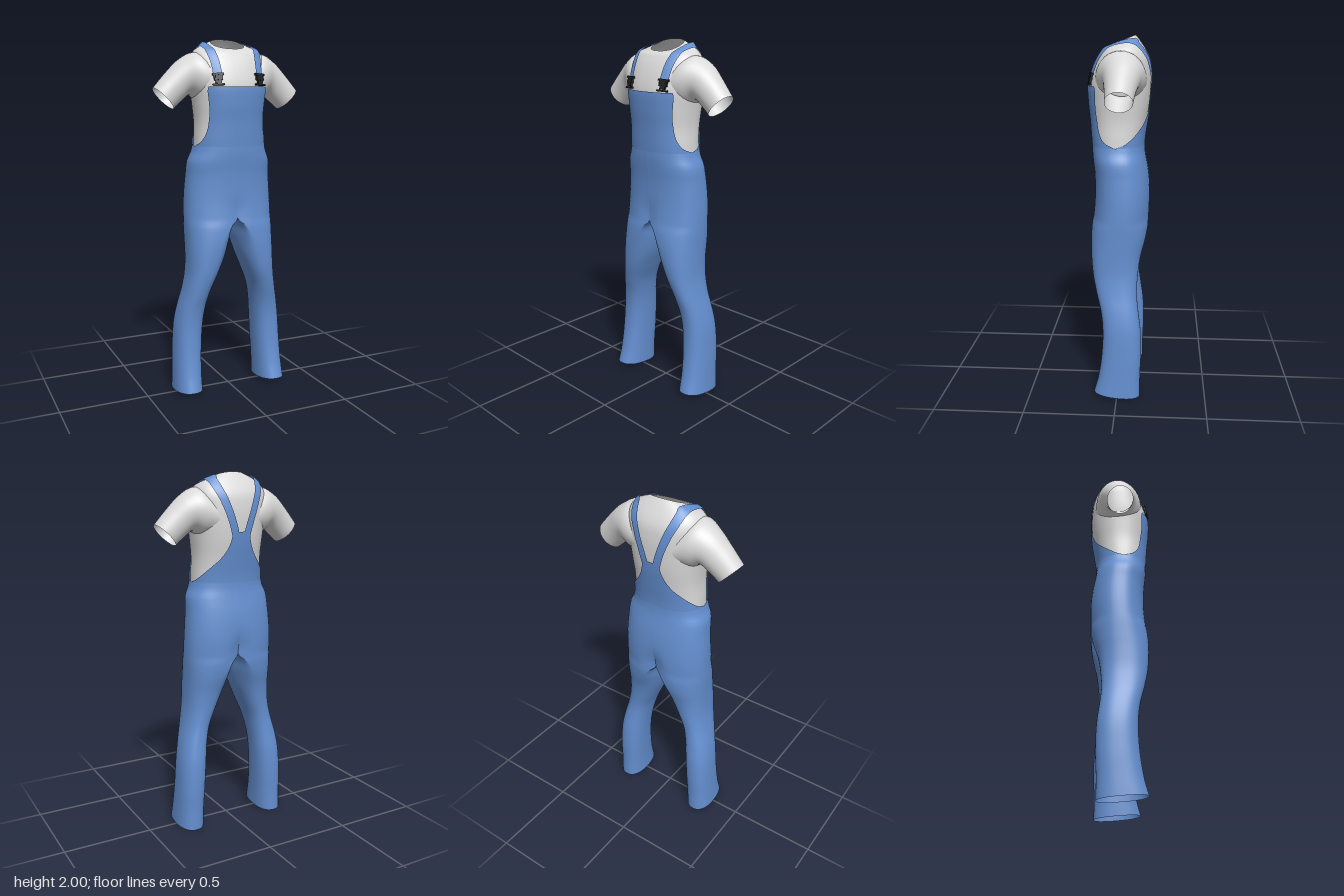
import * as THREE from 'three';

const denim = new THREE.MeshStandardMaterial({ color: 0x648fd0, side: THREE.DoubleSide });
denim.name = 'denim blue';
const cotton = new THREE.MeshStandardMaterial({ color: 0xdadada, side: THREE.DoubleSide });
cotton.name = 'cotton white';
const plastic = new THREE.MeshStandardMaterial({ color: 0x1c1e22 });
plastic.name = 'buckle black';

const N = 2.35; // squareness of the body sections
const spow = (v, p) => Math.sign(v) * Math.abs(v) ** p;
const sq = (v) => spow(v, 2 / N);

// Smooth lookup through a table of [key, ...values] rows, keys ascending
function smoothTable(rows) {
  const f = new THREE.CubicInterpolant(rows.map((r) => r[0]), rows.flatMap((r) => r.slice(1)), rows[0].length - 1);
  return (k) => Array.from(f.evaluate(k));
}

// Skin a list of point rows; faces lying wholly on the centre plane are left out
function skin(name, rows, material, { closed = false, flip = false } = {}) {
  const n = rows[0].length, index = [];
  const pts = rows.flat();
  const tri = (a, b, c) => {
    if ([a, b, c].every((i) => Math.abs(pts[i][0]) < 1e-5)) return;
    index.push(...(flip ? [a, c, b] : [a, b, c]));
  };
  for (let r = 0; r < rows.length - 1; r++) {
    for (let j = 0; j < (closed ? n : n - 1); j++) {
      const a = r * n + j, b = r * n + ((j + 1) % n);
      tri(a, b, b + n);
      tri(a, b + n, a + n);
    }
  }
  const geo = new THREE.BufferGeometry();
  geo.setAttribute('position', new THREE.Float32BufferAttribute(pts.flat(), 3));
  geo.setIndex(index);
  geo.computeVertexNormals();
  const mesh = new THREE.Mesh(geo, material);
  mesh.name = name;
  return mesh;
}
const range = (n, a, b) => Array.from({ length: n + 1 }, (_, i) => a + ((b - a) * i) / n);

// Torso: height, half width, front z, back z, forward slope of the ring
const torso = smoothTable([
  [1.37, 0.203, 0.142, -0.13, 0],
  [1.45, 0.199, 0.148, -0.135, 0],
  [1.55, 0.195, 0.155, -0.15, 0],
  [1.65, 0.203, 0.165, -0.165, 0],
  [1.74, 0.213, 0.167, -0.171, 0],
  [1.82, 0.215, 0.148, -0.17, 0.01],
  [1.88, 0.212, 0.124, -0.16, 0.03],
  [1.915, 0.2, 0.106, -0.14, 0.08],
  [1.942, 0.17, 0.09, -0.117, 0.16],
  [1.957, 0.127, 0.075, -0.098, 0.3],
  [1.966, 0.093, 0.062, -0.086, 0.4],
]);
function torsoPoint(a, y, off = 0) {
  const [w, f, b, k] = torso(y);
  const z = (f + b) / 2 + ((f - b) / 2 + off) * sq(Math.cos(a));
  return [(w + off) * sq(Math.sin(a)), y - k * z, z];
}
function insideTorso(x, y, z) {
  let y0 = y;
  for (let i = 0; i < 5; i++) y0 = y + torso(y0)[3] * z;
  if (y0 > 1.966) return false;
  const [w, f, b] = torso(y0);
  return Math.abs(x / w) ** N + Math.abs((z - (f + b) / 2) / ((f - b) / 2)) ** N < 1;
}
// Point on the torso at x, seen from its middle at angle phi (0 front, 90 up, 180 back)
function wrapPoint(x, phi, off) {
  const c = Math.cos(THREE.MathUtils.degToRad(phi)), s = Math.sin(THREE.MathUtils.degToRad(phi));
  let lo = 0, hi = 0.4;
  for (let i = 0; i < 24; i++) {
    const m = (lo + hi) / 2;
    if (insideTorso(x, 1.75 + m * s, m * c - 0.005)) lo = m; else hi = m;
  }
  return [x, 1.75 + (lo + off) * s, (lo + off) * c - 0.005];
}

// Trouser half: height, inner x, middle x, outer x, front z, back z
const leg = smoothTable([
  [0.012, 0.185, 0.262, 0.34, 0.13, -0.13],
  [0.12, 0.183, 0.258, 0.335, 0.105, -0.13],
  [0.25, 0.177, 0.253, 0.33, 0.087, -0.135],
  [0.4, 0.167, 0.243, 0.32, 0.082, -0.13],
  [0.5, 0.155, 0.23, 0.302, 0.093, -0.117],
  [0.6, 0.133, 0.205, 0.277, 0.118, -0.107],
  [0.7, 0.093, 0.172, 0.26, 0.14, -0.112],
  [0.8, 0.053, 0.14, 0.256, 0.151, -0.126],
  [0.9, 0.029, 0.095, 0.257, 0.155, -0.153],
  [0.98, 0.018, 0.04, 0.259, 0.153, -0.168],
  [1.01, 0, 0, 0.259, 0.15, -0.171],
  [1.12, 0, 0, 0.256, 0.14, -0.174],
  [1.25, 0, 0, 0.246, 0.14, -0.164],
  [1.34, 0, 0, 0.237, 0.149, -0.148],
  [1.38, 0, 0, 0.218, 0.153, -0.142],
  [1.415, 0, 0, 0.209, 0.154, -0.141],
]);
function trouserHalf(s) {
  const rows = range(78, 0.012, 1.415).map((y) => {
    let [xi, xm, xo, f, b] = leg(y);
    if (y > 1.005) xi = xm = 0;
    return range(47, 0, (Math.PI * 2 * 47) / 48).map((a, j) => {
      const sn = j % 24 === 0 ? 0 : sq(Math.sin(a));
      const x = xm + (sn > 0 ? xo - xm : xm - xi) * sn;
      let z = (f + b) / 2 + ((f - b) / 2) * sq(Math.cos(a));
      // crease between the buttocks and a shallow one at the front of the crotch
      const crease = Math.exp(-((x / 0.045) ** 2) - ((y - 1.03) / 0.09) ** 2);
      z += crease * (z < 0 ? 0.03 : -0.015);
      // the hem rises a little towards the toe
      const lift = y < 0.1 ? ((0.1 - y) / 0.088) * 0.09 * z : 0;
      return [s * x, y + lift, z];
    });
  });
  return skin(s > 0 ? 'leftTrouserHalf' : 'rightTrouserHalf', rows, denim, { closed: true, flip: s < 0 });
}

// Sleeve ring: key, top x, top y, bottom x, bottom y (both above 1), centre z, half depth
const sleeveTable = smoothTable([
  [0, 0.1, 0.875, 0.12, 0.66, -0.012, 0.142],
  [1, 0.195, 0.922, 0.185, 0.665, -0.016, 0.128],
  [2, 0.282, 0.883, 0.228, 0.692, -0.023, 0.1],
  [3, 0.358, 0.812, 0.275, 0.658, -0.02, 0.082],
  [4, 0.432, 0.73, 0.322, 0.618, -0.016, 0.073],
]);
function sleeve(s) {
  const rows = range(24, 0, 4).map((t) => {
    const [tx, ty, bx, by, zc, d] = sleeveTable(t);
    return range(35, 0, (Math.PI * 2 * 35) / 36).map((a) => {
      const m = (1 + Math.cos(a)) / 2;
      return [s * (bx + (tx - bx) * m), 1 + by + (ty - by) * m, zc + d * Math.sin(a)];
    });
  });
  return skin(s > 0 ? 'leftSleeve' : 'rightSleeve', rows, cotton, { closed: true, flip: s < 0 });
}

// Panel lying on the torso, with a half width for each height
function panel(name, middle, widths) {
  const width = smoothTable(widths);
  const rows = range(32, widths[0][0], widths.at(-1)[0]).map((y) => {
    const r = Math.min(width(y)[0] / torso(y)[0], 1);
    const amax = Math.asin(r ** (N / 2));
    return range(32, middle - amax, middle + amax).map((a) => torsoPoint(a, y, 0.008));
  });
  return skin(name, rows, denim);
}

// Strap over the shoulder: angle, centre x
const strapPath = smoothTable([
  [14, 0.122], [45, 0.128], [70, 0.139], [90, 0.142], [110, 0.137],
  [130, 0.12], [150, 0.092], [180, 0.057], [212, 0.028],
]);
function strap(s) {
  const rows = range(60, 14, 212).map((phi) => {
    const x = strapPath(phi)[0];
    return range(6, x - 0.022, x + 0.022).map((px) => {
      const p = wrapPoint(px, phi, 0.009);
      return [s * p[0], p[1], p[2]];
    });
  });
  return skin(s > 0 ? 'leftStrap' : 'rightStrap', rows, denim, { flip: s < 0 });
}

// Clip buckle: bars, body and side prongs
function buckle(s) {
  const g = new THREE.Group();
  g.name = s > 0 ? 'leftBuckle' : 'rightBuckle';
  const add = (name, w, h, d, x, y) => {
    const m = new THREE.Mesh(new THREE.BoxGeometry(w, h, d), plastic);
    m.name = name;
    m.position.set(x, y, 0);
    g.add(m);
  };
  add('topBar', 0.062, 0.011, 0.014, 0, 0.028);
  add('body', 0.032, 0.046, 0.012, 0, 0.002);
  add('middleBar', 0.046, 0.012, 0.015, 0, 0.002);
  add('bottomBar', 0.064, 0.009, 0.014, 0, -0.027);
  for (const e of [-1, 1]) add('prong', 0.007, 0.02, 0.01, e * 0.021, 0.015);
  const p = wrapPoint(0.123, 9, 0.01);
  g.position.set(s * p[0], p[1], p[2]);
  g.rotation.set(-0.2, s * 0.25, 0);
  return g;
}

export function createModel() {
  const model = new THREE.Group();
  model.name = 'shirtAndOveralls';

  // Shirt
  const rows = range(60, 1.37, 1.966).map((y) => range(63, 0, (Math.PI * 2 * 63) / 64).map((a) => torsoPoint(a, y)));
  model.add(skin('shirtBody', rows, cotton, { closed: true }));

  // Overalls
  model.add(panel('frontBib', 0, [
    [1.39, 0.205], [1.415, 0.202], [1.45, 0.182], [1.5, 0.164], [1.55, 0.157],
    [1.61, 0.156], [1.68, 0.163], [1.72, 0.167], [1.738, 0.163],
  ]));
  model.add(panel('backPanel', Math.PI, [
    [1.39, 0.205], [1.415, 0.202], [1.45, 0.186], [1.5, 0.148], [1.55, 0.104],
    [1.6, 0.073], [1.65, 0.056], [1.69, 0.051],
  ]));
  for (const s of [1, -1]) model.add(trouserHalf(s), sleeve(s), strap(s), buckle(s));
  return model;
}
